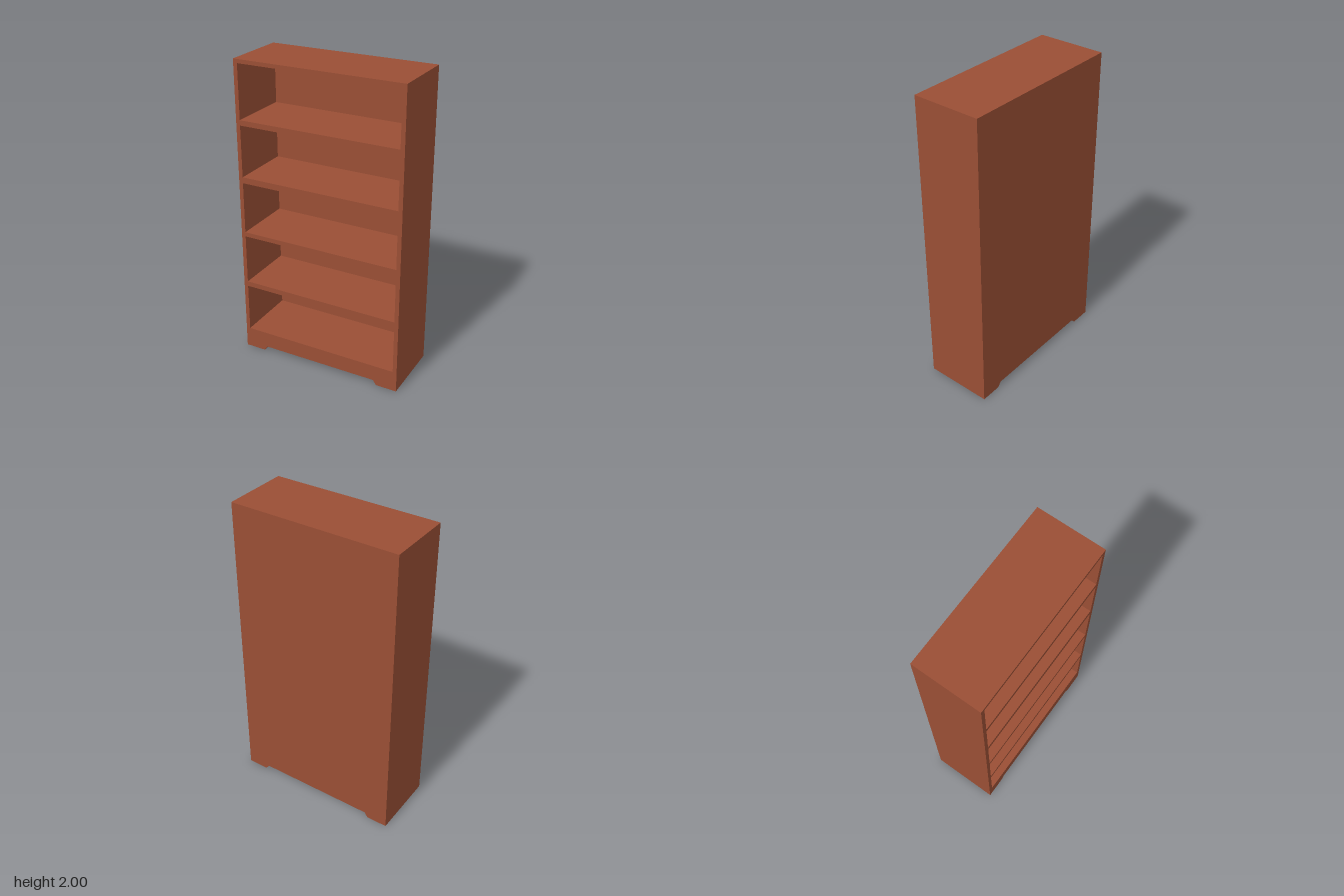
import * as THREE from 'three';

const HALF_W = 0.56, HEIGHT = 2, HALF_D = 0.223, BACK = 0.03;
const INNER = 0.533; // half width of the compartments
const compartments = [[0.14, 0.47], [0.504, 0.837], [0.867, 1.209], [1.249, 1.589], [1.623, 1.975]];

// Front outline with the low cut-out between the two feet
function outline() {
  return new THREE.Shape([
    [-HALF_W, 0], [-0.42, 0], [-0.398, 0.032], [0.398, 0.032], [0.42, 0],
    [HALF_W, 0], [HALF_W, HEIGHT], [-HALF_W, HEIGHT],
  ].map(([x, y]) => new THREE.Vector2(x, y)));
}

export function createModel() {
  const group = new THREE.Group();
  group.name = 'bookcase';
  const wood = new THREE.MeshStandardMaterial({ color: 0x9a4f35 });

  function slab(name, shape, depth, z) {
    const mesh = new THREE.Mesh(new THREE.ExtrudeGeometry(shape, { depth, bevelEnabled: false }), wood);
    mesh.name = name;
    mesh.position.z = z;
    group.add(mesh);
  }

  // Case: sides, shelves, top and plinth with five open compartments
  const frame = outline();
  for (const [y0, y1] of compartments) {
    frame.holes.push(new THREE.Path([
      new THREE.Vector2(-INNER, y0), new THREE.Vector2(-INNER, y1),
      new THREE.Vector2(INNER, y1), new THREE.Vector2(INNER, y0),
    ]));
  }
  slab('shelfCase', frame, 2 * HALF_D - BACK, -HALF_D + BACK);

  // Closed back with the same cut-out
  slab('backPanel', outline(), BACK, -HALF_D);
  return group;
}
